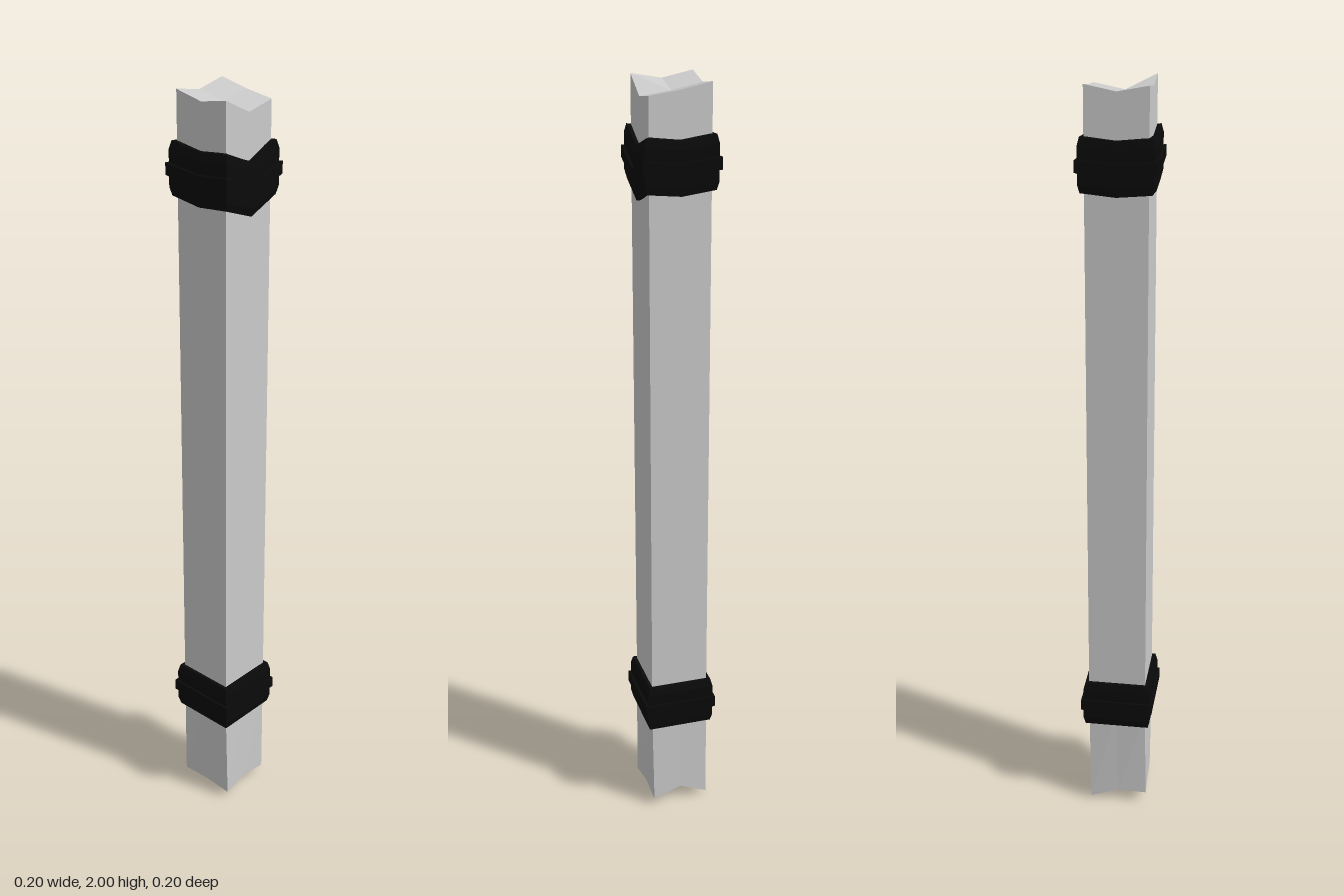
import * as THREE from 'three';

// Square ring of corners and side middles, counter-clockwise from above (x, z)
const SQUARE = [[1, 0], [1, -1], [0, -1], [-1, -1], [-1, 0], [-1, 1], [0, 1], [1, 1]];
const TWIST = 0.042;

// One ring: half width r, turned by twist, with a height for each of the 8 points
function ring(r, heights, twist = TWIST) {
  const c = Math.cos(twist), s = Math.sin(twist);
  return SQUARE.map(([x, z], i) => [r * (x * c + z * s), heights[i], r * (z * c - x * s)]);
}

// Skin a stack of rings from bottom to top; optional centre heights close the ends
function loft(rings, bottomY, topY) {
  const n = SQUARE.length, pos = rings.flat(2), index = [];
  for (let k = 0; k < rings.length - 1; k++) {
    for (let i = 0; i < n; i++) {
      const j = (i + 1) % n, a = k * n + i, b = k * n + j;
      index.push(a, b, b + n, a, b + n, a + n);
    }
  }
  if (topY !== undefined) {
    const low = rings.length * n, last = low - n;
    pos.push(0, bottomY, 0, 0, topY, 0);
    for (let i = 0; i < n; i++) {
      const j = (i + 1) % n;
      index.push(j, i, low, last + i, last + j, low + 1);
    }
  }
  const g = new THREE.BufferGeometry();
  g.setAttribute('position', new THREE.Float32BufferAttribute(pos, 3));
  g.setIndex(index);
  const flat = g.toNonIndexed();
  flat.computeVertexNormals();
  return flat;
}

const level = (y) => SQUARE.map(() => y);

// Band cross-section (half width, height): chamfered strap with a raised rib
const BAND = [
  [0.074, -0.066], [0.086, -0.066], [0.091, -0.045], [0.091, -0.016], [0.097, -0.016],
  [0.097, 0.014], [0.091, 0.014], [0.091, 0.045], [0.086, 0.066], [0.074, 0.066],
];

function band(y, sag) {
  return loft(BAND.map(([r, h]) => ring(r, sag.map((d) => y + h + d))));
}

export function createModel() {
  const model = new THREE.Group();
  const wood = new THREE.MeshStandardMaterial({ color: 0xcccccc, flatShading: true });
  const black = new THREE.MeshStandardMaterial({ color: 0x0a0a0a, flatShading: true });
  const add = (name, geometry, material) => {
    const mesh = new THREE.Mesh(geometry, material);
    mesh.name = name;
    model.add(mesh);
  };

  // Square post with rough, notched ends and a slightly twisted foot
  const foot = [0.035, 0.02, 0.045, 0.01, 0.035, 0.03, 0.03, 0.02];
  const head = [1.96, 1.975, 1.985, 2, 1.985, 2, 1.985, 2];
  add('post', loft([
    ring(0.077, foot, 0.09),
    ring(0.077, level(0.3)),
    ring(0.077, level(1.8)),
    ring(0.077, head),
  ], 0, 1.97), wood);

  // Straps around the post, the upper one sagging on its sides
  add('lowerBand', band(0.325, level(0)), black);
  add('upperBand', band(1.815, [-0.034, 0, -0.01, 0, -0.008, 0, -0.01, 0]), black);

  return model;
}
